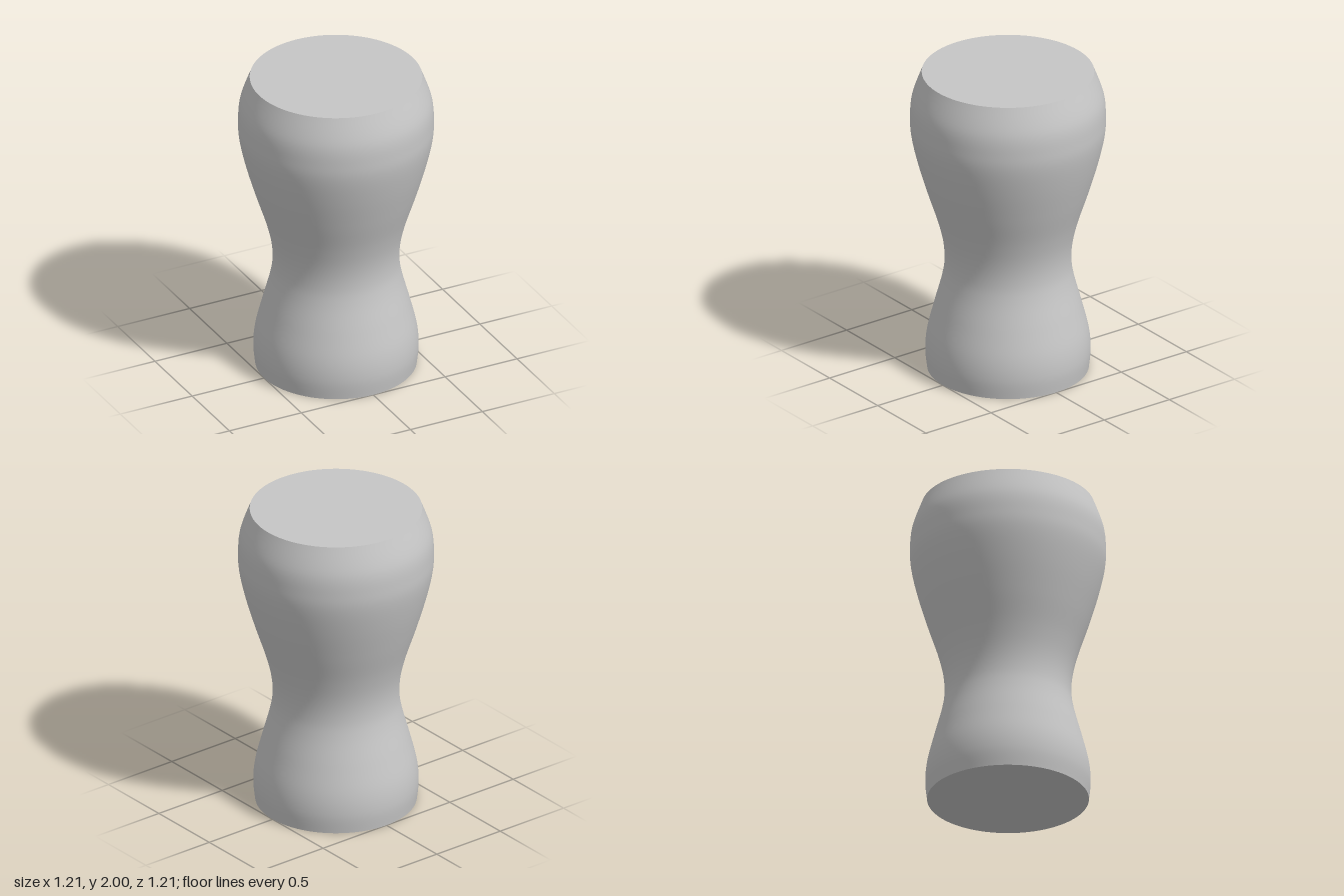
import * as THREE from 'three';

export function createModel() {
  const group = new THREE.Group();
  const grey = new THREE.MeshStandardMaterial({ color: 0xc6c6c6 });
  grey.name = 'light grey';

  // Waisted side profile as radius, height
  const profile = new THREE.SplineCurve([
    [0.5, 0], [0.511, 0.12], [0.499, 0.25], [0.457, 0.42], [0.409, 0.6], [0.392, 0.72],
    [0.4, 0.85], [0.435, 1.0], [0.5, 1.2], [0.559, 1.4], [0.597, 1.57], [0.605, 1.69],
    [0.593, 1.83], [0.533, 2],
  ].map(([r, y]) => new THREE.Vector2(r, y)));

  const sides = 96;
  const wall = new THREE.Mesh(new THREE.LatheGeometry(profile.getPoints(80), sides), grey);
  wall.name = 'body';
  group.add(wall);

  // Flat end discs with sharp rims
  const addDisc = (name, radius, y, tilt) => {
    const disc = new THREE.Mesh(new THREE.CircleGeometry(radius, sides), grey);
    disc.name = name;
    disc.rotation.x = tilt;
    disc.position.y = y;
    group.add(disc);
  };
  addDisc('topFace', 0.533, 2, -Math.PI / 2);
  addDisc('bottomFace', 0.5, 0, Math.PI / 2);

  return group;
}
